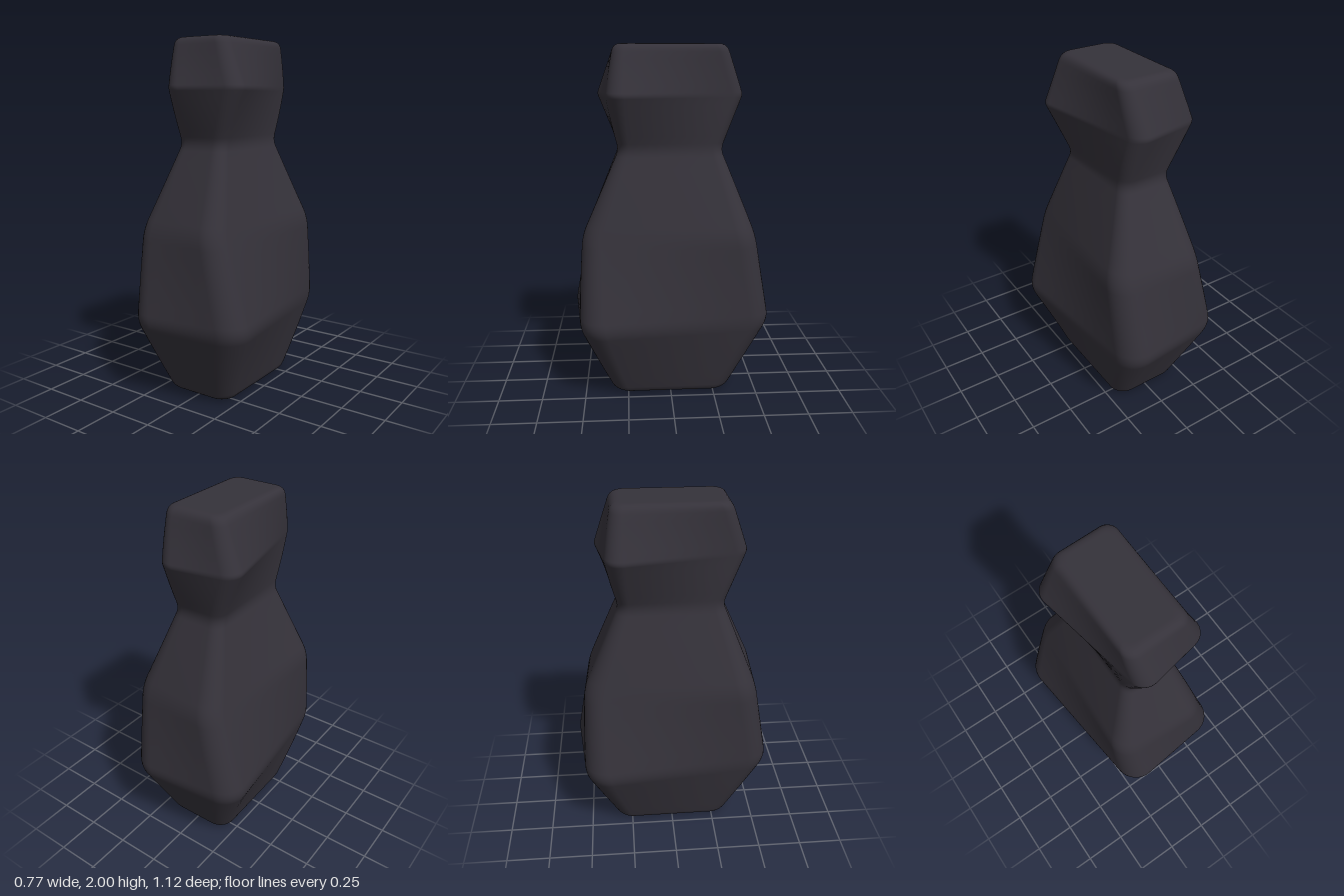
import * as THREE from 'three';

// Key sections, bottom to top: height, half width, half depth, corner radius, twist (rad), edge rounding
const KEYS = [
  [0, 0.10, 0.21, 0.03, 0, 0],
  [0, 0.205, 0.33, 0.09, 0, 0.05],
  [0.455, 0.347, 0.546, 0.135, 0.117, 0.05],
  [0.96, 0.283, 0.486, 0.11, -0.06, 0.06],
  [1.43, 0.147, 0.286, 0.06, 0, 0.04],
  [1.73, 0.22, 0.382, 0.085, 0.2, 0.015],
  [2, 0.172, 0.306, 0.06, 0, 0.045],
  [2, 0.09, 0.22, 0.03, 0, 0],
];
const CORNER = 8, EDGE = 6;

const mix = (a, b, t) => a.map((v, i) => v + (b[i] - v) * t);

// Moves from one section towards another by a given distance along the profile
function towards(a, b, dist) {
  return mix(a, b, Math.min(0.45, dist / Math.hypot(b[0] - a[0], b[2] - a[2])));
}

// Sections with each key rounded by a short curve and the spans between subdivided
function sections() {
  const rows = [KEYS[0]];
  const span = (to) => {
    const from = rows[rows.length - 1];
    for (let i = 1; i <= 6; i++) rows.push(mix(from, to, i / 6));
  };
  for (let k = 1; k < KEYS.length - 1; k++) {
    const key = KEYS[k];
    const a = towards(key, KEYS[k - 1], key[5]);
    const b = towards(key, KEYS[k + 1], key[5]);
    span(a);
    for (let i = 1; i <= 5; i++) {
      const t = i / 5;
      rows.push(mix(mix(a, key, t), mix(key, b, t), t));
    }
  }
  span(KEYS[KEYS.length - 1]);
  return rows;
}

// Twisted rounded rectangle, as a closed ring of points
function ring([y, w, d, r, twist]) {
  const flat = [];
  const signs = [[1, 1], [-1, 1], [-1, -1], [1, -1]];
  signs.forEach(([sx, sz], q) => {
    for (let i = 0; i <= CORNER; i++) {
      const t = (q + i / CORNER) * Math.PI / 2;
      flat.push([sx * (w - r) + r * Math.cos(t), sz * (d - r) + r * Math.sin(t)]);
    }
  });
  const c = Math.cos(twist), s = Math.sin(twist);
  const points = [];
  flat.forEach((p, i) => {
    const next = flat[(i + 1) % flat.length];
    const steps = i % (CORNER + 1) === CORNER ? EDGE : 1;
    for (let j = 0; j < steps; j++) {
      const [x, z] = mix(p, next, j / steps);
      points.push([x * c + z * s, y, -x * s + z * c]);
    }
  });
  return points;
}

function loft(rings) {
  const n = rings[0].length, last = (rings.length - 1) * n;
  const positions = rings.flat(2);
  const index = [];
  for (let r = 0; r < rings.length - 1; r++) {
    for (let i = 0; i < n; i++) {
      const a = r * n + i, b = r * n + (i + 1) % n;
      index.push(a, a + n, b, b, a + n, b + n);
    }
  }
  // Flat end caps
  const bottom = rings.length * n, top = bottom + 1;
  positions.push(0, rings[0][0][1], 0, 0, rings[rings.length - 1][0][1], 0);
  for (let i = 0; i < n; i++) {
    const j = (i + 1) % n;
    index.push(bottom, i, j, top, last + j, last + i);
  }
  const geometry = new THREE.BufferGeometry();
  geometry.setAttribute('position', new THREE.Float32BufferAttribute(positions, 3));
  geometry.setIndex(index);
  geometry.computeVertexNormals();
  return geometry;
}

export function createModel() {
  const group = new THREE.Group();
  group.name = 'twistedFigure';
  const body = new THREE.Mesh(
    loft(sections().map(ring)),
    new THREE.MeshStandardMaterial({ color: 0x35323a }),
  );
  body.name = 'body';
  group.add(body);
  return group;
}
